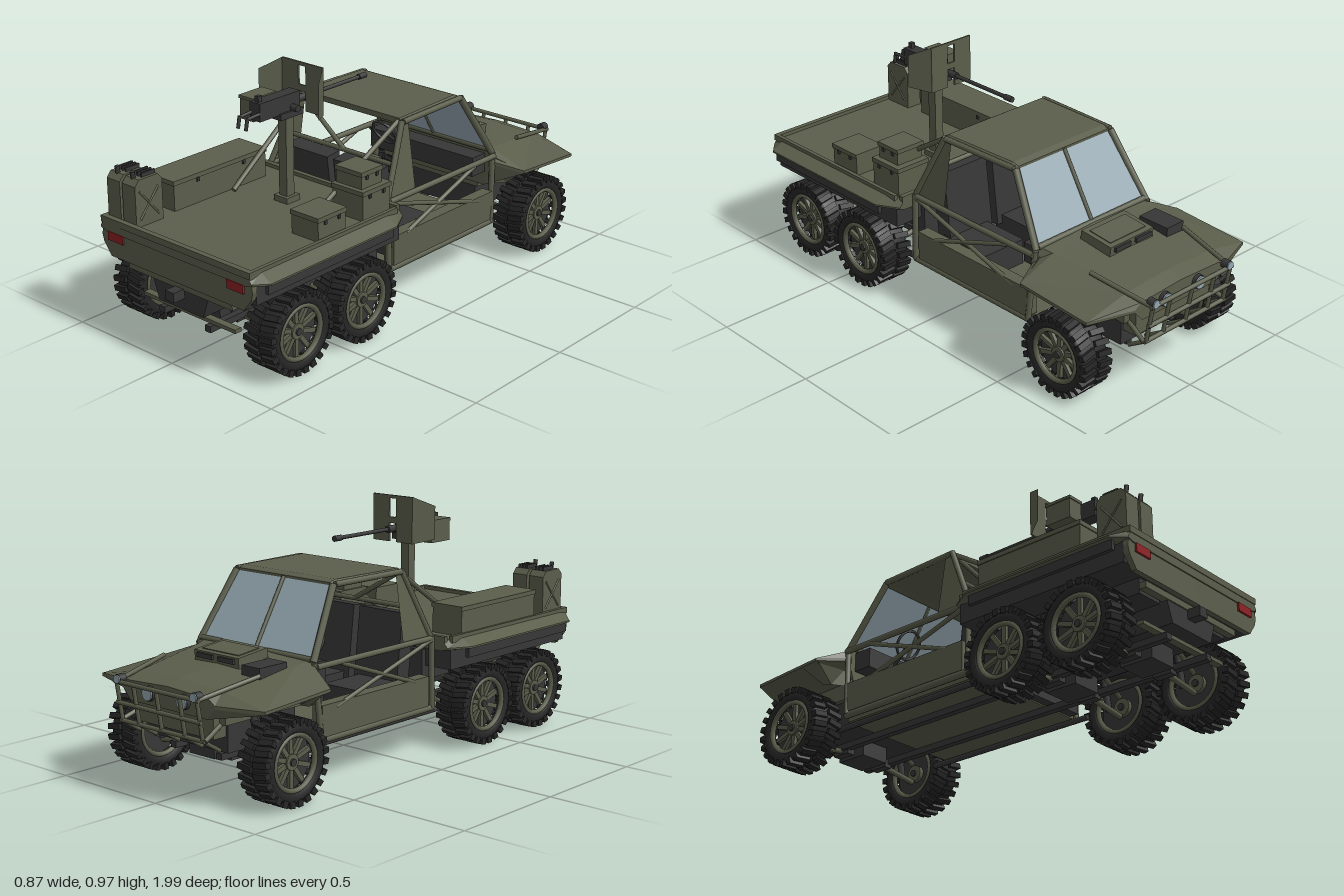
import * as THREE from 'three';

const mat = (name, color, side = THREE.FrontSide) => {
  const m = new THREE.MeshStandardMaterial({ color, side });
  m.name = name;
  return m;
};

export function createModel() {
  const root = new THREE.Group();
  root.name = 'sixWheelTruck';
  const green = mat('olivePaint', 0x5b5e4b, THREE.DoubleSide);
  const dark = mat('darkMetal', 0x373737);
  const rubber = mat('tyreRubber', 0x262626);
  const glass = mat('glass', 0x95a8b2, THREE.DoubleSide);
  const red = mat('tailLightRed', 0x8e2023);

  const add = (name, geo, m, parent = root) => {
    const mesh = new THREE.Mesh(geo, m);
    mesh.name = name;
    parent.add(mesh);
    return mesh;
  };
  // Box given by its minimum and maximum corners
  const box = (name, x0, x1, y0, y1, z0, z1, m = green) => {
    const b = add(name, new THREE.BoxGeometry(x1 - x0, y1 - y0, z1 - z0), m);
    b.position.set((x0 + x1) / 2, (y0 + y1) / 2, (z0 + z1) / 2);
    return b;
  };
  // Round bar between two points
  const bar = (name, a, b, r = 0.01, m = green, sides = 8) => {
    const p = new THREE.Vector3(...a), q = new THREE.Vector3(...b);
    const c = add(name, new THREE.CylinderGeometry(r, r, p.distanceTo(q), sides), m);
    c.position.copy(p).lerp(q, 0.5);
    c.quaternion.setFromUnitVectors(new THREE.Vector3(0, 1, 0), q.sub(p).normalize());
    return c;
  };
  const pair = (f) => [1, -1].forEach(f);
  const fromTriangles = (pos) => {
    const g = new THREE.BufferGeometry();
    g.setAttribute('position', new THREE.Float32BufferAttribute(pos, 3));
    g.computeVertexNormals();
    return g;
  };
  const plate = (name, a, b, c, d, m = green) => add(name, fromTriangles([a, b, c, a, c, d].flat()), m);
  // Mirrored cross-sections: half profile from top centre to bottom centre, z increasing
  const loft = (name, sections, m = green) => {
    const rings = sections.map(([z, pts]) => [
      ...pts.map(([x, y]) => [x, y, z]),
      ...pts.slice(1, -1).reverse().map(([x, y]) => [-x, y, z])]);
    const n = rings[0].length, pos = [];
    const tri = (...v) => v.forEach((p) => pos.push(...p));
    for (let s = 0; s < rings.length - 1; s++) for (let i = 0; i < n; i++) {
      const a = rings[s], b = rings[s + 1], j = (i + 1) % n;
      tri(a[i], b[i], b[j]);
      tri(a[i], b[j], a[j]);
    }
    const lo = rings[0], hi = rings.at(-1);
    for (let i = 1; i < n - 1; i++) {
      tri(lo[0], lo[i], lo[i + 1]);
      tri(hi[0], hi[i + 1], hi[i]);
    }
    return add(name, fromTriangles(pos), m);
  };

  // Wheels: tyre, two rows of staggered lugs, spoked rim
  const tyreProfile = [[0.105, -0.055], [0.115, -0.066], [0.14, -0.066], [0.15, -0.055],
    [0.15, 0.055], [0.14, 0.066], [0.115, 0.066], [0.105, 0.055]].map((p) => new THREE.Vector2(...p));
  const tyreGeo = new THREE.LatheGeometry(tyreProfile, 32);
  const lugGeo = new THREE.BoxGeometry(0.026, 0.064, 0.022);
  const spokeGeo = new THREE.BoxGeometry(0.085, 0.014, 0.018);
  const makeWheel = (x, z) => {
    const w = new THREE.Group();
    w.name = 'wheel';
    add('tyre', tyreGeo, rubber, w);
    for (let i = 0; i < 48; i++) {
      const a = (i / 48) * Math.PI * 2, row = i % 2 ? 1 : -1;
      const lug = add('treadLug', lugGeo, rubber, w);
      lug.position.set(Math.cos(a) * 0.149, row * 0.038, -Math.sin(a) * 0.149);
      lug.rotation.set(row * 0.15, a, 0, 'YXZ');
    }
    add('rimBack', new THREE.CylinderGeometry(0.106, 0.106, 0.05, 32), dark, w);
    pair((s) => {
      const ring = add('rimRing', new THREE.TorusGeometry(0.102, 0.011, 6, 32), green, w);
      ring.rotation.x = Math.PI / 2;
      ring.position.y = s * 0.055;
    });
    for (let i = 0; i < 10; i++) {
      const a = (i / 10) * Math.PI * 2, spoke = add('spoke', spokeGeo, green, w);
      spoke.position.set(Math.cos(a) * 0.058, 0.032, -Math.sin(a) * 0.058);
      spoke.rotation.y = a;
    }
    add('hub', new THREE.CylinderGeometry(0.03, 0.036, 0.09, 16), green, w);
    add('hubCap', new THREE.CylinderGeometry(0.014, 0.014, 0.104, 12), dark, w);
    w.position.set(x, 0.163, z);
    w.rotation.z = x > 0 ? -Math.PI / 2 : Math.PI / 2;
    root.add(w);
  };
  for (const z of [0.745, 0.4, -0.7]) {
    pair((s) => {
      makeWheel(s * 0.345, z);
      bar('lowerArm', [s * 0.1, 0.145, z], [s * 0.29, 0.12, z], 0.012);
      bar('upperArm', [s * 0.15, 0.24, z + 0.03], [s * 0.29, 0.2, z], 0.01);
      bar('shockAbsorber', [s * 0.26, 0.14, z - 0.03], [s * 0.22, 0.36, z - 0.03], 0.014, dark);
      box('armMount', s * 0.105 - 0.018, s * 0.105 + 0.018, 0.125, 0.16, z - 0.04, z + 0.04, dark);
    });
    box('differential', -0.065, 0.065, 0.125, 0.205, z - 0.07, z + 0.07, dark);
  }

  // Chassis and underbody
  pair((s) => {
    box('chassisRail', s * 0.12 - 0.014, s * 0.12 + 0.014, 0.14, 0.165, -0.8, 0.93, dark);
    box('sill', s * 0.295 - 0.025, s * 0.295 + 0.025, 0.19, 0.31, -0.47, 0.14);
    bar('sillTube', [s * 0.31, 0.178, -0.48], [s * 0.31, 0.178, 0.17], 0.014);
    bar('lowerTube', [s * 0.27, 0.15, -0.55], [s * 0.27, 0.15, 0.26], 0.012, dark);
  });
  box('cabFloor', -0.28, 0.28, 0.165, 0.185, -0.5, 0.18);
  box('cabRearWall', -0.26, 0.26, 0.17, 0.4, 0.17, 0.22, dark);
  const tank = [[0, 0.4], [0.14, 0.4], [0.14, 0.27], [0.115, 0.2], [0, 0.2]];
  loft('rearTank', [[0.22, tank], [0.945, tank]], dark);
  box('wheelWell', -0.385, 0.385, 0.335, 0.425, 0.19, 0.945, dark);
  box('innerWheelWell', -0.255, 0.255, 0.275, 0.35, 0.2, 0.91, dark);
  box('rearCrossMember', -0.24, 0.24, 0.165, 0.18, 0.88, 0.91);
  box('rearUpperMember', -0.27, 0.27, 0.28, 0.305, 0.92, 0.95);
  box('towHitch', -0.022, 0.022, 0.247, 0.285, 0.92, 0.998, dark);
  box('frontHull', -0.21, 0.21, 0.19, 0.32, -0.84, -0.5, dark);
  box('frontBody', -0.23, 0.23, 0.3, 0.39, -0.87, -0.49);

  // Cargo bed with flared edges, lip and tail panel
  const bed = (w, e) => [[0, 0.452], [e, 0.452], [w, 0.425], [w, 0.418], [e - 0.005, 0.41], [0, 0.41]];
  loft('cargoBed', [[0.17, bed(0.385, 0.36)], [0.26, bed(0.435, 0.385)],
    [0.92, bed(0.435, 0.385)], [0.972, bed(0.39, 0.37)]]);
  pair((s) => {
    box('bedSideLip', s * 0.377 - 0.008, s * 0.377 + 0.008, 0.44, 0.467, 0.2, 0.97);
    box('bedSkirt', s * 0.412 - 0.008, s * 0.412 + 0.008, 0.378, 0.418, 0.26, 0.92, dark);
    box('tailLight', s * 0.31 - 0.04, s * 0.31 + 0.04, 0.378, 0.412, 0.966, 0.975, red);
  });
  box('bedRearLip', -0.385, 0.385, 0.442, 0.467, 0.953, 0.975);
  box('bedFrontLip', -0.37, 0.37, 0.44, 0.467, 0.17, 0.19);
  const tail = [[0, 0.44], [0.38, 0.44], [0.39, 0.39], [0.382, 0.36], [0.345, 0.312], [0, 0.312]];
  loft('tailPanel', [[0.945, tail], [0.967, tail]]);

  // Hood with pointed fenders
  const hood = (hx, hy, fx, fy, under) => [[0, hy + 0.01], [hx, hy], [fx, fy], [fx, fy - 0.012], [hx - 0.01, under], [0, under]];
  loft('hoodAndFenders', [[-0.93, hood(0.21, 0.405, 0.24, 0.385, 0.33)], [-0.87, hood(0.22, 0.425, 0.425, 0.385, 0.36)],
    [-0.54, hood(0.26, 0.465, 0.425, 0.405, 0.37)], [-0.485, hood(0.275, 0.475, 0.3, 0.43, 0.32)]]);
  pair((s) => {
    plate('fenderRearFlap', [s * 0.25, 0.46, -0.49], [s * 0.42, 0.4, -0.54], [s * 0.33, 0.325, -0.55], [s * 0.25, 0.32, -0.49]);
    plate('fenderInnerFlap', [s * 0.42, 0.4, -0.54], [s * 0.42, 0.385, -0.62], [s * 0.33, 0.34, -0.6], [s * 0.33, 0.325, -0.55]);
  });
  box('nosePanel', -0.2, 0.2, 0.25, 0.36, -0.9, -0.84);
  box('hoodScoop', -0.115, 0.115, 0.46, 0.5, -0.69, -0.54).rotation.x = -0.1;
  box('scoopInset', -0.095, 0.095, 0.498, 0.503, -0.67, -0.565).rotation.x = -0.1;
  pair((s) => box('scoopSlot', s * 0.055 - 0.04, s * 0.055 + 0.04, 0.468, 0.486, -0.7, -0.685, dark));
  box('hoodVentBox', -0.25, -0.16, 0.44, 0.482, -0.72, -0.58, dark);

  // Front brush guard and lamps
  for (const [y, z] of [[0.41, -0.985], [0.33, -0.975], [0.26, -0.96]])
    bar('guardCrossTube', [-0.22, y, z], [0.22, y, z], 0.009);
  for (const x of [-0.21, -0.12, 0, 0.12, 0.21]) {
    bar('guardPost', [x, 0.41, -0.985], [x, 0.26, -0.96], 0.008);
    bar('guardLowerPost', [x, 0.26, -0.96], [x, 0.21, -0.88], 0.008);
  }
  pair((s) => {
    bar('guardBrace', [s * 0.21, 0.41, -0.985], [s * 0.25, 0.455, -0.72], 0.009);
    bar('guardLowerBrace', [s * 0.22, 0.26, -0.96], [s * 0.2, 0.3, -0.86], 0.009);
    bar('guardLamp', [s * 0.2, 0.42, -0.99], [s * 0.2, 0.42, -0.96], 0.018, dark, 12);
    bar('guardLampLens', [s * 0.2, 0.42, -0.995], [s * 0.2, 0.42, -0.99], 0.016, glass, 12);
    bar('headlight', [s * 0.09, 0.375, -0.945], [s * 0.09, 0.375, -0.91], 0.028, dark, 16);
    bar('headlightLens', [s * 0.09, 0.375, -0.951], [s * 0.09, 0.375, -0.945], 0.025, glass, 16);
  });

  // Cab: roof, windscreen, rear side panels and tube frame
  const roof = (w, y) => [[0, y], [w - 0.015, y], [w, y - 0.012], [w, y - 0.022], [0, y - 0.022]];
  loft('roof', [[-0.335, roof(0.25, 0.735)], [-0.31, roof(0.255, 0.745)], [0.035, roof(0.265, 0.742)]]);
  plate('windscreen', [-0.28, 0.475, -0.488], [-0.245, 0.725, -0.335], [0.245, 0.725, -0.335], [0.28, 0.475, -0.488], glass);
  bar('screenDivider', [0, 0.475, -0.49], [0, 0.73, -0.335], 0.008);
  bar('screenBase', [-0.285, 0.478, -0.488], [0.285, 0.478, -0.488], 0.012);
  bar('rearCrossBar', [-0.28, 0.58, 0.1], [0.28, 0.58, 0.1], 0.01);
  bar('rearDiagonal', [-0.23, 0.715, 0.04], [0.03, 0.58, 0.1], 0.01);
  box('dashboard', -0.27, 0.27, 0.38, 0.46, -0.48, -0.4, dark);
  bar('steeringColumn', [-0.13, 0.41, -0.43], [-0.13, 0.49, -0.33], 0.008, dark);
  const steering = add('steeringWheel', new THREE.TorusGeometry(0.058, 0.006, 6, 20), dark);
  steering.position.set(-0.13, 0.495, -0.325);
  steering.rotation.x = 0.5;
  pair((s) => {
    bar('windscreenPillar', [s * 0.25, 0.73, -0.335], [s * 0.295, 0.47, -0.49], 0.014);
    bar('frontPost', [s * 0.3, 0.47, -0.49], [s * 0.315, 0.18, -0.47], 0.012);
    bar('roofRail', [s * 0.255, 0.73, -0.33], [s * 0.266, 0.73, 0.03], 0.012);
    plate('rearSidePanel', [s * 0.264, 0.735, 0.035], [s * 0.264, 0.735, 0.0], [s * 0.305, 0.46, 0.0], [s * 0.305, 0.46, 0.16]);
    bar('rearPillar', [s * 0.264, 0.735, 0.035], [s * 0.305, 0.46, 0.165], 0.012);
    bar('rearPost', [s * 0.31, 0.465, 0.165], [s * 0.315, 0.18, 0.165], 0.012);
    bar('beltRail', [s * 0.31, 0.455, 0.17], [s * 0.31, 0.455, -0.49], 0.012);
    bar('sideBraceRear', [s * 0.313, 0.45, 0.16], [s * 0.313, 0.29, -0.39], 0.009);
    bar('sideBraceFront', [s * 0.313, 0.3, 0.06], [s * 0.313, 0.45, -0.36], 0.009);
    bar('rollBarStay', [s * 0.245, 0.73, 0.035], [s * 0.205, 0.46, 0.47], 0.01);
    box('seatBase', s * 0.14 - 0.1, s * 0.14 + 0.1, 0.185, 0.29, -0.16, 0.08, dark);
    box('seatBack', s * 0.125 - 0.11, s * 0.125 + 0.11, 0.25, 0.555, 0.06, 0.13, dark).rotation.x = 0.12;
  });

  // Boxes and fuel cans on the bed
  const crate = (x0, x1, y0, y1, z0, z1) => {
    box('crate', x0, x1, y0, y1 - 0.018, z0, z1);
    box('crateLid', x0 - 0.004, x1 + 0.004, y1 - 0.018, y1, z0 - 0.004, z1 + 0.004);
    pair((s) => box('crateLatch', x1, x1 + 0.006, y1 - 0.033, y1 - 0.016,
      (z0 + z1) / 2 + s * (z1 - z0) * 0.25 - 0.006, (z0 + z1) / 2 + s * (z1 - z0) * 0.25 + 0.006, dark));
  };
  crate(-0.375, -0.23, 0.45, 0.572, 0.27, 0.75);
  crate(0.23, 0.36, 0.45, 0.545, 0.46, 0.605);
  crate(0.205, 0.355, 0.45, 0.568, 0.21, 0.36);
  crate(0.21, 0.335, 0.568, 0.635, 0.235, 0.345);
  for (const x of [-0.333, -0.25]) {
    const can = new THREE.Shape([[-0.065, 0], [0.065, 0], [0.065, 0.16], [0.045, 0.183], [-0.045, 0.183], [-0.065, 0.16]]
      .map((p) => new THREE.Vector2(...p)));
    const geo = new THREE.ExtrudeGeometry(can, { depth: 0.07, bevelEnabled: false }).translate(0, 0, -0.035);
    const body = add('fuelCan', geo, green);
    body.rotation.y = Math.PI / 2;
    body.position.set(x, 0.452, 0.885);
    bar('fuelCanCap', [x, 0.63, 0.925], [x, 0.66, 0.93], 0.009, dark);
    for (const dx of [-0.018, 0, 0.018]) box('fuelCanHandle', x + dx - 0.004, x + dx + 0.004, 0.63, 0.65, 0.84, 0.905, dark);
    pair((s) => pair((t) => bar('fuelCanRib', [x + s * 0.035, 0.48, 0.885 - t * 0.045], [x + s * 0.035, 0.59, 0.885 + t * 0.045], 0.004)));
  }

  // Pedestal gun with swept shield
  box('pedestalBase', -0.035, 0.035, 0.45, 0.475, 0.355, 0.425);
  box('pedestal', -0.02, 0.02, 0.47, 0.8, 0.37, 0.41);
  box('gunCradle', -0.035, 0.035, 0.79, 0.815, 0.33, 0.45, dark);
  box('gunReceiver', -0.026, 0.026, 0.81, 0.88, 0.34, 0.55, dark);
  box('gunSight', -0.009, 0.009, 0.88, 0.902, 0.52, 0.54, dark);
  bar('gunTrunnion', [-0.055, 0.825, 0.38], [0.055, 0.825, 0.38], 0.014, dark);
  bar('gunJacket', [0, 0.838, 0.34], [0, 0.838, 0.26], 0.015, dark);
  bar('gunBarrel', [0, 0.838, 0.27], [0, 0.838, -0.05], 0.008, dark);
  bar('gunMuzzle', [0, 0.838, -0.015], [0, 0.838, -0.055], 0.012, dark);
  pair((s) => {
    bar('gunGripArm', [s * 0.02, 0.84, 0.54], [s * 0.02, 0.835, 0.61], 0.007, dark);
    bar('gunGrip', [s * 0.02, 0.84, 0.608], [s * 0.02, 0.795, 0.617], 0.007, dark);
    box('shieldPanel', s * 0.06 - 0.042, s * 0.06 + 0.042, 0.785, 0.973, 0.293, 0.301);
    plate('shieldWing', [s * 0.102, 0.785, 0.297], [s * 0.102, 0.973, 0.297], [s * 0.152, 0.935, 0.375], [s * 0.152, 0.8, 0.375]);
  });
  box('shieldBridge', -0.02, 0.02, 0.86, 0.885, 0.293, 0.301);
  box('shieldTopBridge', -0.02, 0.02, 0.96, 0.973, 0.293, 0.301);
  box('ammoBox', -0.122, -0.052, 0.78, 0.86, 0.39, 0.505);
  box('ammoBoxLid', -0.125, -0.05, 0.86, 0.872, 0.386, 0.509);
  box('ammoFeed', -0.055, -0.025, 0.83, 0.85, 0.41, 0.47, dark);
  return root;
}
